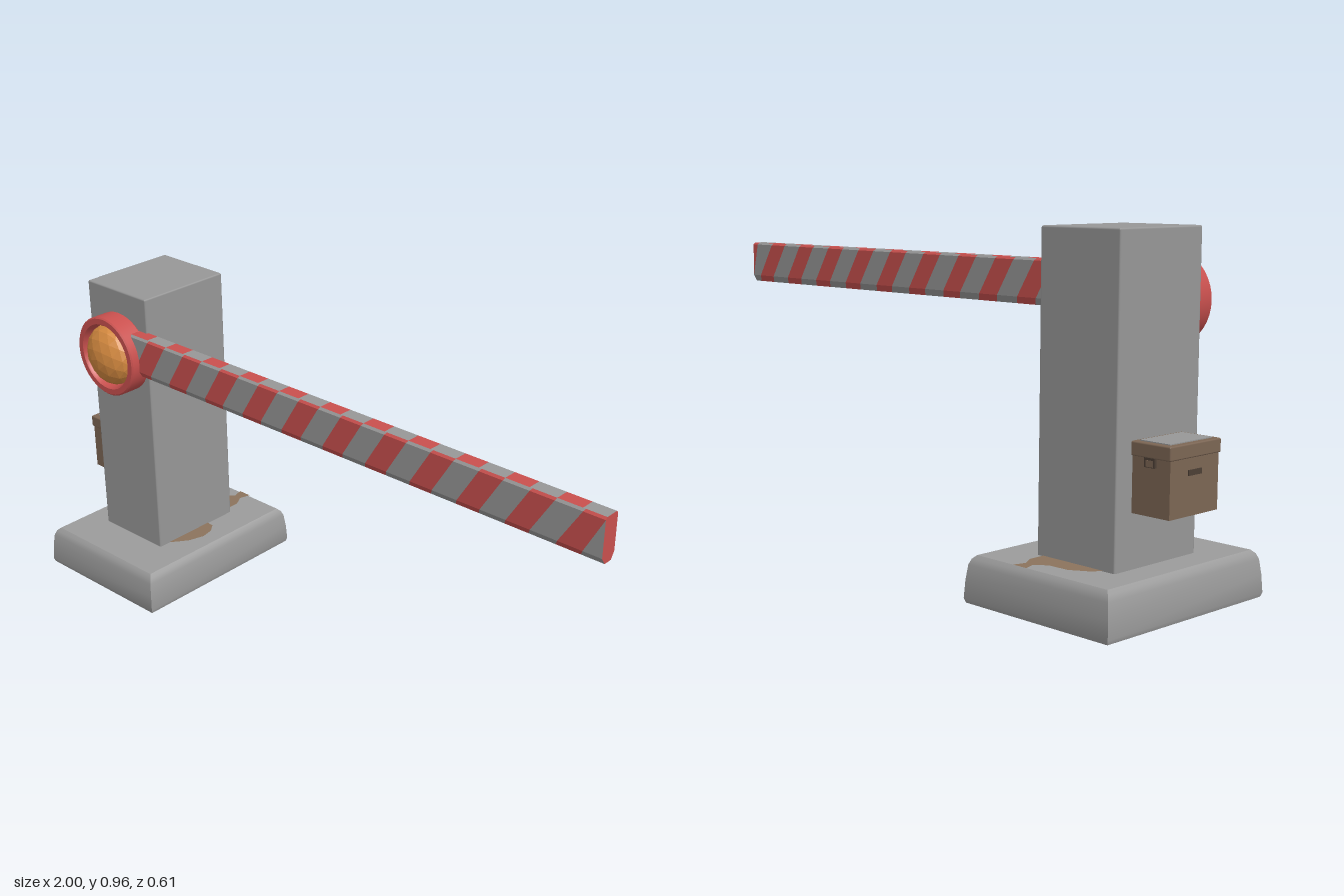
import * as THREE from 'three';
import { toCreasedNormals } from 'three/addons/utils/BufferGeometryUtils.js';
import { RoundedBoxGeometry } from 'three/addons/geometries/RoundedBoxGeometry.js';

function material(name, color, extra = {}) {
  const m = new THREE.MeshStandardMaterial({ color, ...extra });
  m.name = name;
  return m;
}

// Flat-faced geometry from a list of quads, each four [x, y, z] corners
function quadGeometry(quads) {
  const pos = quads.flatMap(([a, b, c, d]) => [...a, ...b, ...c, ...a, ...c, ...d]);
  const g = new THREE.BufferGeometry();
  g.setAttribute('position', new THREE.Float32BufferAttribute(pos, 3));
  g.computeVertexNormals();
  return g;
}

export function createModel() {
  const root = new THREE.Group();
  root.name = 'barrierGate';

  const grey = material('concreteGrey', 0x979797);
  const shellGrey = material('baseGrey', 0x9b9b9b, { side: THREE.DoubleSide });
  const red = material('signalRed', 0xc9504e);
  const orange = material('lampOrange', 0xd58a40, { flatShading: true });
  const brown = material('boxBrown', 0x7c6654);
  const darkBrown = material('darkBrown', 0x4c3f35);
  const rust = material('rustStain', 0x8b735c, { side: THREE.DoubleSide });

  const add = (name, geometry, mat, x = 0, y = 0, z = 0, parent = root) => {
    const mesh = new THREE.Mesh(geometry, mat);
    mesh.name = name;
    mesh.position.set(x, y, z);
    parent.add(mesh);
    return mesh;
  };
  const box = (w, h, d) => new THREE.BoxGeometry(w, h, d);

  // Base: shell open at the bottom, lofted from rectangles [inset, height]
  const levels = [[0.004, 0], [0, 0.012], [0.003, 0.06], [0.008, 0.1], [0.014, 0.115], [0.024, 0.125]];
  const corners = [[-1, 1], [1, 1], [1, -1], [-1, -1]];
  const point = ([inset, y], [sx, sz]) => [sx * (0.241 - inset), y, sz * (0.305 - inset)];
  const baseQuads = [corners.map((c) => point(levels[5], c))];
  for (let i = 0; i < 5; i++) {
    for (let j = 0; j < 4; j++) {
      const a = corners[j], b = corners[(j + 1) % 4];
      baseQuads.push([point(levels[i], a), point(levels[i], b), point(levels[i + 1], b), point(levels[i + 1], a)]);
    }
  }
  add('base', toCreasedNormals(quadGeometry(baseQuads), 0.5), shellGrey, -0.741);

  // Rust stains lying on the base, outlines in x and z
  const stains = {
    rightStain: [[-0.64, -0.06], [-0.6, -0.058], [-0.578, -0.03], [-0.57, 0.01], [-0.585, 0.06], [-0.61, 0.095], [-0.64, 0.125]],
    backStain: [[-0.85, -0.15], [-0.83, -0.19], [-0.78, -0.222], [-0.72, -0.225], [-0.69, -0.25], [-0.7, -0.285],
      [-0.655, -0.285], [-0.665, -0.25], [-0.645, -0.215], [-0.645, -0.15]],
  };
  for (const [name, outline] of Object.entries(stains)) {
    const shape = new THREE.Shape(outline.map(([x, z]) => new THREE.Vector2(x, -z)));
    add(name, new THREE.ShapeGeometry(shape).rotateX(-Math.PI / 2), rust, 0, 0.1265, 0);
  }

  // Post
  add('post', new RoundedBoxGeometry(0.257, 0.842, 0.313, 1, 0.005), grey, -0.752, 0.539, -0.0085);

  // Arm: chamfered section [y, z], cut lengthwise into slanted red and grey bands
  const section = [[0.725, 0.147], [0.725, 0.173], [0.745, 0.187], [0.849, 0.187],
    [0.855, 0.181], [0.855, 0.141], [0.849, 0.135], [0.745, 0.135]];
  const x0 = -0.7, x1 = 0.998, pitch = 0.1515, half = 0.036;
  const clampX = (x) => THREE.MathUtils.clamp(x, x0, x1);
  const bands = { red: [], grey: [] };
  section.forEach((a, i) => {
    const b = section[(i + 1) % section.length];
    const side = i === 1 || i === 2 || i === 3 ? 'front' : i >= 5 ? 'back' : 'flat';
    const shift = (y) => {
      const t = (y - 0.725) / 0.13;
      return side === 'front' ? 0.08 * t : side === 'back' ? 0.04 - 0.08 * t : 0;
    };
    const band = (list, from, to) => {
      const sa = shift(a[0]), sb = shift(b[0]);
      const p = (s, x) => [clampX(x), ...s];
      if (clampX(to + Math.max(sa, sb)) > clampX(from + Math.min(sa, sb)))
        list.push([p(a, from + sa), p(a, to + sa), p(b, to + sb), p(b, from + sb)]);
    };
    for (let k = -1; k < 12; k++) {
      const c = -0.62 + k * pitch;
      band(bands.red, c - half, c + half);
      band(bands.grey, c + half, c + pitch - half);
    }
  });
  const arm = new THREE.Group();
  arm.name = 'arm';
  root.add(arm);
  add('redBands', quadGeometry(bands.red), red, 0, 0, 0, arm);
  add('greyBands', quadGeometry(bands.grey), grey, 0, 0, 0, arm);
  // Red tip closing the arm
  const tip = new THREE.Shape(section.map(([y, z]) => new THREE.Vector2(-z, y)));
  add('armTip', new THREE.ShapeGeometry(tip).rotateY(Math.PI / 2), red, x1, 0, 0, arm);

  // Hub ring with a recessed seat, turned about z
  const ring = [[0, 0.037], [0.094, 0.037], [0.098, 0.062], [0.102, 0.067], [0.119, 0.067], [0.123, 0.063], [0.123, 0.004], [0.12, 0]]
    .reverse().map(([r, h]) => new THREE.Vector2(r, h));
  const ringGeometry = toCreasedNormals(new THREE.LatheGeometry(ring, 40).rotateX(Math.PI / 2), 0.6);
  add('hubRing', ringGeometry, red, -0.743, 0.768, 0.148);

  // Faceted lamp
  const lamp = add('lamp', new THREE.IcosahedronGeometry(1, 2).rotateX(0.55), orange, -0.743, 0.768, 0.183);
  lamp.scale.set(0.095, 0.095, 0.064);

  // Control box on the right side of the post
  const control = new THREE.Group();
  control.name = 'controlBox';
  control.position.set(-0.938, 0, -0.0125);
  root.add(control);
  add('boxBody', box(0.116, 0.144, 0.187), brown, 0, 0.34, 0, control);
  add('boxLid', new RoundedBoxGeometry(0.124, 0.036, 0.197, 1, 0.004), brown, 0, 0.429, 0, control);
  add('lidPanel', box(0.092, 0.004, 0.162), grey, 0, 0.4475, 0, control);
  for (const s of [-1, 1]) {
    add('latch', box(0.032, 0.024, 0.008), darkBrown, 0, 0.401, s * 0.0965, control);
    add('latchPlate', box(0.02, 0.016, 0.004), brown, 0, 0.399, s * 0.1, control);
  }
  add('sideSlot', box(0.004, 0.014, 0.05), darkBrown, -0.059, 0.375, 0, control);

  return root;
}
